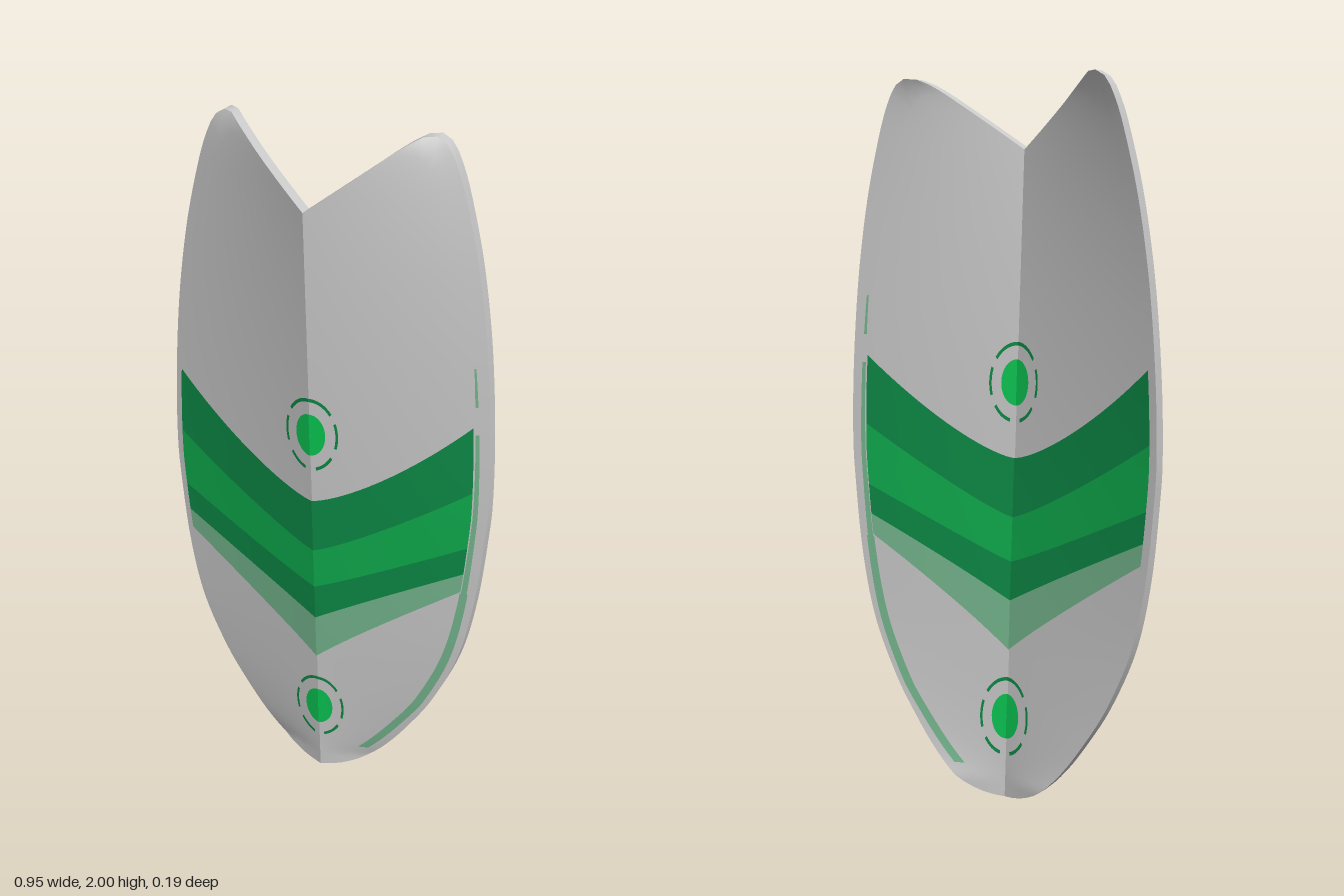
import * as THREE from 'three';

const V2 = (x, y) => new THREE.Vector2(x, y);
const lerp = THREE.MathUtils.lerp;
const THICK = 0.038, RIM_Z = -0.057, NOTCH_Y = 1.81;

// Outline of one half, from the bottom point round to the notch slope
const outline = new THREE.SplineCurve([
  V2(0.002, 0.003), V2(0.06, 0.013), V2(0.13, 0.047), V2(0.2, 0.115), V2(0.27, 0.21), V2(0.34, 0.325),
  V2(0.41, 0.49), V2(0.45, 0.68), V2(0.472, 0.9), V2(0.477, 1.02), V2(0.472, 1.2), V2(0.457, 1.4),
  V2(0.437, 1.56), V2(0.41, 1.71), V2(0.372, 1.86), V2(0.346, 1.935), V2(0.32, 1.982), V2(0.288, 2.0),
  V2(0.255, 1.995), V2(0.21, 1.967), V2(0.165, 1.933),
]);
const edge = outline.getSpacedPoints(80);

// Half width at a height, and the folded front surface
function halfWidth(y) {
  for (let i = 1; i < edge.length; i++) {
    const a = edge[i - 1], b = edge[i];
    if (b.y < a.y) return a.x;
    if (y <= b.y) return Math.max(0.14, lerp(a.x, b.x, Math.max(0, (y - a.y) / (b.y - a.y))));
  }
  return 0.29;
}
function frontZ(x, y) {
  const ridge = -0.016 + 0.0613 * y;
  return lerp(ridge, RIM_Z, Math.min(1, Math.abs(x) / halfWidth(y)));
}

// Surface grid from a rule f(u, v) -> [x, y, z]
function grid(f, nu, nv, flip) {
  const pos = [], idx = [];
  for (let j = 0; j <= nv; j++)
    for (let i = 0; i <= nu; i++) pos.push(...f(i / nu, j / nv));
  for (let j = 0; j < nv; j++)
    for (let i = 0; i < nu; i++) {
      const a = j * (nu + 1) + i, b = a + 1, c = a + nu + 1, d = c + 1;
      if (flip) idx.push(a, d, b, a, c, d);
      else idx.push(a, b, d, a, d, c);
    }
  const g = new THREE.BufferGeometry();
  g.setAttribute('position', new THREE.Float32BufferAttribute(pos, 3));
  g.setIndex(idx);
  g.computeVertexNormals();
  return g;
}

function material(name, color) {
  const m = new THREE.MeshStandardMaterial({ color });
  m.name = name;
  return m;
}

export function createModel() {
  const root = new THREE.Group();
  root.name = 'shield';
  const grey = material('light grey', 0xcbcbcb);
  const dark = material('dark green', 0x0d8c47);
  const mid = material('mid green', 0x0fae4e);
  const pale = material('pale green', 0x76b88f);
  const bright = material('bright green', 0x0ac853);

  const add = (name, geometry, mat) => {
    const m = new THREE.Mesh(geometry, mat);
    m.name = name;
    root.add(m);
  };

  // Thin painted patch on both faces of one half; rule gives [x >= 0, y]
  const paint = (name, side, mat, rule, nu, nv, lift = 0.004) => {
    for (const face of [1, -1]) {
      const f = (u, v) => {
        const [x, y] = rule(u, v);
        return [side * x, y, frontZ(x, y) + (face > 0 ? lift : -THICK - lift)];
      };
      add(name + (face > 0 ? 'Front' : 'Back'), grid(f, nu, nv, side * face < 0), mat);
    }
  };

  // Band boundaries: height at the ridge, height at the rim, curve power
  const bounds = [[0.965, 1.24, 1.4], [0.8, 1.045, 1.2], [0.675, 0.87, 1.1], [0.565, 0.785, 1], [0.425, 0.725, 1]];
  const bandMats = [dark, mid, dark, pale];
  const boundY = ([c, e, p], u) => c + (e - c) * Math.pow(u, p);

  for (const side of [1, -1]) {
    const label = side > 0 ? 'left' : 'right';

    // Body panels, front and back
    const panel = (offset) => (u, v) => {
      const o = edge[Math.round(v * 80)];
      const x = o.x * u, y = lerp(lerp(0.003, NOTCH_Y, v), o.y, u);
      return [side * x, y, frontZ(x, y) + offset];
    };
    add(label + 'FrontPanel', grid(panel(0), 14, 80, side < 0), grey);
    add(label + 'BackPanel', grid(panel(-THICK), 14, 80, side > 0), grey);

    // Outer rim and notch edge
    const rim = (u, v) => {
      const o = edge[Math.round(v * 80)];
      return [side * o.x, o.y, frontZ(o.x, o.y) - THICK * u];
    };
    add(label + 'Rim', grid(rim, 1, 80, side < 0), grey);
    const notch = (u, v) => {
      const [x, y, z] = panel(0)(1 - v, 1);
      return [x, y, z - THICK * u];
    };
    add(label + 'NotchEdge', grid(notch, 1, 14, side < 0), grey);

    // Chevron bands
    const margin = side > 0 ? 0.042 : 0.021;
    bandMats.forEach((mat, k) => {
      paint(label + 'Band' + (k + 1), side, mat, (u, v) => {
        const y = lerp(boundY(bounds[k + 1], u), boundY(bounds[k], u), v);
        return [u * (halfWidth(y) - margin), y];
      }, 20, 6);
    });

    // Round studs with dashed rings, one high and one low
    for (const cy of [1.175, 0.235]) {
      const arc = (r0, r1, a0, a1, rx, ry) => (u, v) => {
        const a = THREE.MathUtils.degToRad(lerp(a0, a1, v)), r = lerp(r0, r1, u);
        return [rx * r * Math.cos(a), cy + ry * r * Math.sin(a)];
      };
      paint(label + 'Dot', side, bright, arc(0.01, 1, -90, 90, 0.043, 0.064), 3, 16);
      for (const [a0, a1] of [[-78, -38], [-20, 22], [38, 90]])
        paint(label + 'RingDash', side, dark, arc(0.91, 1, a0, a1, 0.077, 0.112), 1, 8);
    }
  }

  // Pale streak following the left edge, with a broken upper end
  for (const [y0, y1, w0, w1] of [[0.09, 0.72, 0.03, 0.022], [0.72, 1.22, 0.016, 0.01], [1.3, 1.41, 0.008, 0.005]])
    paint('edgeStreak', 1, pale, (u, v) => {
      const y = lerp(y0, y1, v);
      return [halfWidth(y) - 0.032 - 0.022 * Math.max(0, 1 - y / 0.3) + (u - 0.5) * lerp(w0, w1, v), y];
    }, 2, 30, 0.003);

  return root;
}
